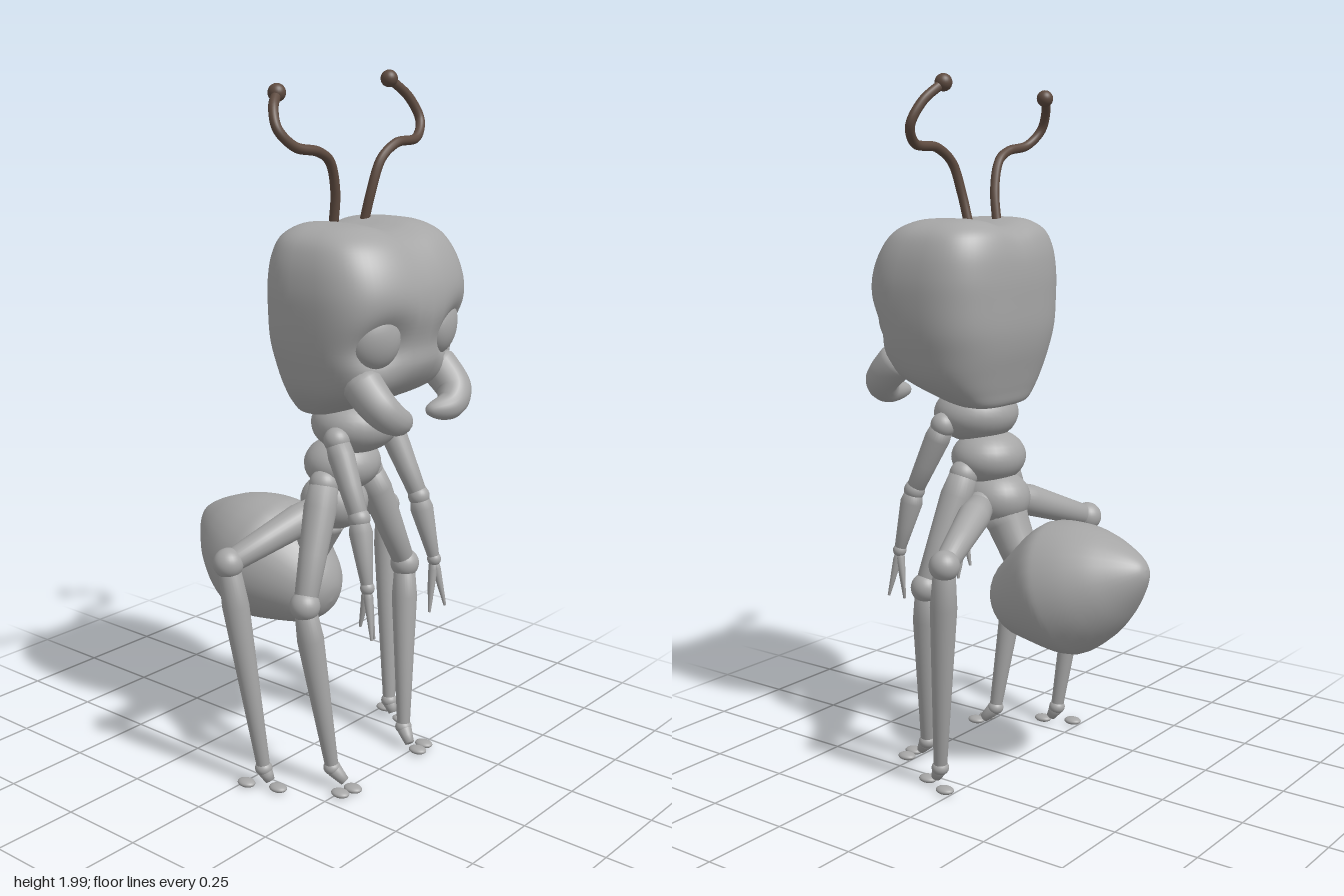
import * as THREE from 'three';
import { mergeVertices } from 'three/addons/utils/BufferGeometryUtils.js';

const V = (x, y, z) => new THREE.Vector3(x, y, z);
const UP = V(0, 1, 0);

export function createModel() {
  const root = new THREE.Group();
  root.name = 'ant';
  const grey = new THREE.MeshStandardMaterial({ color: 0xa6a6a6 });
  grey.name = 'bodyGrey';
  const brown = new THREE.MeshStandardMaterial({ color: 0x5e4b40 });
  brown.name = 'antennaBrown';

  const add = (name, geo, parent = root, mat = grey) => {
    const m = new THREE.Mesh(geo, mat);
    m.name = name;
    parent.add(m);
    return m;
  };
  const ball = (name, p, rx, ry = rx, rz = rx, parent = root, mat = grey) => {
    const m = add(name, new THREE.SphereGeometry(1, 28, 18), parent, mat);
    m.position.copy(p);
    m.scale.set(rx, ry, rz);
    return m;
  };
  // Lathe of [distance, radius] pairs running from a towards b
  const spindle = (name, a, b, profile, parent = root) => {
    const pts = profile.map(([s, r]) => new THREE.Vector2(r, s));
    const m = add(name, new THREE.LatheGeometry(pts, 28), parent);
    m.position.copy(a);
    m.quaternion.setFromUnitVectors(UP, b.clone().sub(a).normalize());
    return m;
  };
  // Limb segment: radius at the start, the swell and the end
  const limb = (name, a, b, r0, r1, r2, parent) => {
    const L = a.distanceTo(b);
    return spindle(name, a, b, [[0, 0], [0, r0], [L * 0.2, r1], [L * 0.6, (r1 + r2) / 2], [L, r2], [L, 0]], parent);
  };
  // Tube whose radius follows a rule along its path
  const taperTube = (points, radius, seg = 40) => {
    const path = new THREE.CatmullRomCurve3(points);
    const g = new THREE.TubeGeometry(path, seg, 1, 16);
    const pos = g.attributes.position, v = V(0, 0, 0);
    for (let i = 0; i < pos.count; i++) {
      const t = Math.floor(i / 17) / seg, c = path.getPointAt(t);
      v.fromBufferAttribute(pos, i).sub(c).multiplyScalar(radius(t)).add(c);
      pos.setXYZ(i, v.x, v.y, v.z);
    }
    g.deleteAttribute('uv');
    g.deleteAttribute('normal');
    const merged = mergeVertices(g, 1e-5);
    merged.computeVertexNormals();
    return merged;
  };

  // Head: rounded-square rings as [y, half width, back z, front z]
  const rings = [
    [1.075, 0.0, 0.08, 0.08], [1.08, 0.12, 0.03, 0.14], [1.12, 0.18, 0.015, 0.24], [1.17, 0.222, 0, 0.34],
    [1.24, 0.248, -0.02, 0.392], [1.30, 0.262, -0.03, 0.398], [1.38, 0.27, -0.033, 0.412], [1.45, 0.27, -0.033, 0.405],
    [1.52, 0.257, -0.025, 0.378], [1.57, 0.232, -0.005, 0.34], [1.60, 0.185, 0.035, 0.285],
    [1.612, 0.1, 0.09, 0.22], [1.613, 0, 0.155, 0.155],
  ];
  const sides = new THREE.CatmullRomCurve3(rings.map(r => V(r[1], r[0], r[2])));
  const fronts = new THREE.CatmullRomCurve3(rings.map(r => V(0, r[0], r[3])));
  const N = 64, M = 60, pos = [], idx = [];
  const sq = c => Math.sign(c) * Math.abs(c) ** 0.7;
  for (let i = 0; i <= M; i++) {
    const s = sides.getPoint(i / M), f = fronts.getPoint(i / M).z;
    for (let j = 0; j < N; j++) {
      const a = j / N * Math.PI * 2;
      const x = Math.max(s.x, 0) * sq(Math.cos(a));
      let y = s.y, z = (s.z + f) / 2 + (f - s.z) / 2 * sq(Math.sin(a));
      // eye sockets and the shallow groove over the crown
      if (z > 0.2) z -= 0.06 * Math.exp(-(((Math.abs(x) - 0.145) / 0.075) ** 2) - ((y - 1.3) / 0.075) ** 2);
      if (y > 1.45) y -= 0.02 * Math.exp(-((x / 0.06) ** 2)) * (y - 1.45) / 0.16;
      pos.push(x, y, z);
      if (i < M) {
        const p = i * N + j, q = i * N + (j + 1) % N;
        idx.push(p, p + N, q, q, p + N, q + N);
      }
    }
  }
  const headGeo = new THREE.BufferGeometry();
  headGeo.setAttribute('position', new THREE.Float32BufferAttribute(pos, 3));
  headGeo.setIndex(idx);
  headGeo.computeVertexNormals();
  add('head', headGeo);

  // Thorax segments, waist and abdomen
  ball('neckSegment', V(0, 1.045, 0.15), 0.128, 0.085, 0.122);
  ball('middleSegment', V(0, 0.92, 0.105), 0.116, 0.08, 0.106);
  ball('rearSegment', V(0, 0.8, 0.075), 0.095, 0.082, 0.1);
  limb('waist', V(0, 0.76, 0.05), V(0, 0.6, -0.03), 0.07, 0.062, 0.05, root);
  const outline = [[0, 0], [0.01, 0.05], [0.05, 0.1], [0.12, 0.14], [0.2, 0.178], [0.25, 0.193], [0.29, 0.188],
    [0.35, 0.168], [0.41, 0.135], [0.46, 0.096], [0.5, 0.058], [0.525, 0.025], [0.532, 0]];
  const smooth = new THREE.SplineCurve(outline.map(([s, r]) => new THREE.Vector2(s, r))).getPoints(48);
  spindle('abdomen', V(0, 0.485, 0.065), V(0, 0.66, -0.43), smooth.map(p => [p.x, Math.max(p.y, 0)]));

  for (const s of [1, -1]) {
    const side = s > 0 ? 'left' : 'right';
    const P = (x, y, z) => V(x * s, y, z);
    const group = name => {
      const g = new THREE.Group();
      g.name = side + name;
      root.add(g);
      return g;
    };

    // Eye and hooked mandible
    const eye = ball(side + 'Eye', P(0.145, 1.322, 0.325), 0.076, 0.083, 0.05);
    eye.rotation.set(0.1, s * 0.4, s * -0.25);
    add(side + 'Mandible', taperTube(
      [P(0.155, 1.24, 0.27), P(0.17, 1.19, 0.32), P(0.162, 1.14, 0.37), P(0.12, 1.108, 0.385), P(0.045, 1.1, 0.36)],
      t => 0.056 * Math.sqrt(Math.min(1, t * 5 + 0.001)) * Math.sqrt(Math.max(0, 1 - t ** 2.2))));

    // Arm with three slim fingers
    const arm = group('Arm');
    const shoulder = P(0.118, 1.02, 0.18), elbow = P(0.137, 0.82, 0.275), wrist = P(0.155, 0.635, 0.32);
    ball('shoulder', shoulder, 0.037, 0.037, 0.037, arm);
    limb('upperArm', shoulder, elbow, 0.032, 0.037, 0.026, arm);
    ball('elbow', elbow, 0.031, 0.031, 0.031, arm);
    limb('forearm', elbow, wrist, 0.025, 0.033, 0.016, arm);
    ball('wrist', wrist, 0.02, 0.02, 0.02, arm);
    for (const [x, y, z] of [[0.13, 0.48, 0.325], [0.172, 0.495, 0.35], [0.16, 0.52, 0.3]])
      limb('finger', wrist, P(x, y, z), 0.01, 0.013, 0.004, arm);

    // Walking legs: hip, knee, ankle, joint radius and toe pads
    const legs = [
      ['MiddleLeg', P(0.1, 0.88, 0.12), P(0.23, 0.565, 0.16), P(0.17, 0.068, 0.21), [[0.155, 0.275], [0.2, 0.265]]],
      ['HindLeg', P(0.08, 0.79, 0.075), P(0.355, 0.685, -0.01), P(0.295, 0.065, 0.06), [[0.29, 0.11], [0.325, 0.02]]],
    ];
    for (const [name, hip, knee, ankle, toes] of legs) {
      const leg = group(name);
      ball('hip', hip, 0.042, 0.042, 0.042, leg);
      limb('thigh', hip, knee, 0.04, 0.047, 0.032, leg);
      ball('knee', knee, 0.043, 0.043, 0.043, leg);
      limb('shin', knee, ankle, 0.03, 0.038, 0.019, leg);
      ball('ankle', ankle, 0.025, 0.022, 0.025, leg);
      limb('foot', ankle, P(toes[0][0], 0.03, toes[0][1] - 0.03), 0.018, 0.022, 0.014, leg);
      for (const [x, z] of toes) ball('toe', P(x, 0.018, z), 0.022, 0.011, 0.028, leg);
    }
  }

  // Antennae, each with its own bend
  const antennae = {
    left: [[0.065, 1.58, 0.12], [0.075, 1.68, 0.14], [0.105, 1.765, 0.15], [0.165, 1.805, 0.155],
      [0.265, 1.815, 0.15], [0.308, 1.862, 0.13], [0.28, 1.925, 0.11], [0.215, 1.976, 0.09]],
    right: [[-0.065, 1.58, 0.12], [-0.08, 1.69, 0.14], [-0.115, 1.77, 0.15], [-0.165, 1.798, 0.153],
      [-0.25, 1.815, 0.145], [-0.293, 1.86, 0.125], [-0.28, 1.91, 0.1], [-0.235, 1.948, 0.072]],
  };
  for (const [side, pts] of Object.entries(antennae)) {
    const path = pts.map(p => V(...p));
    add(side + 'Antenna', new THREE.TubeGeometry(new THREE.CatmullRomCurve3(path), 60, 0.0135, 12), root, brown);
    ball(side + 'AntennaTip', path.at(-1), 0.024, 0.024, 0.024, root, brown);
  }
  return root;
}
